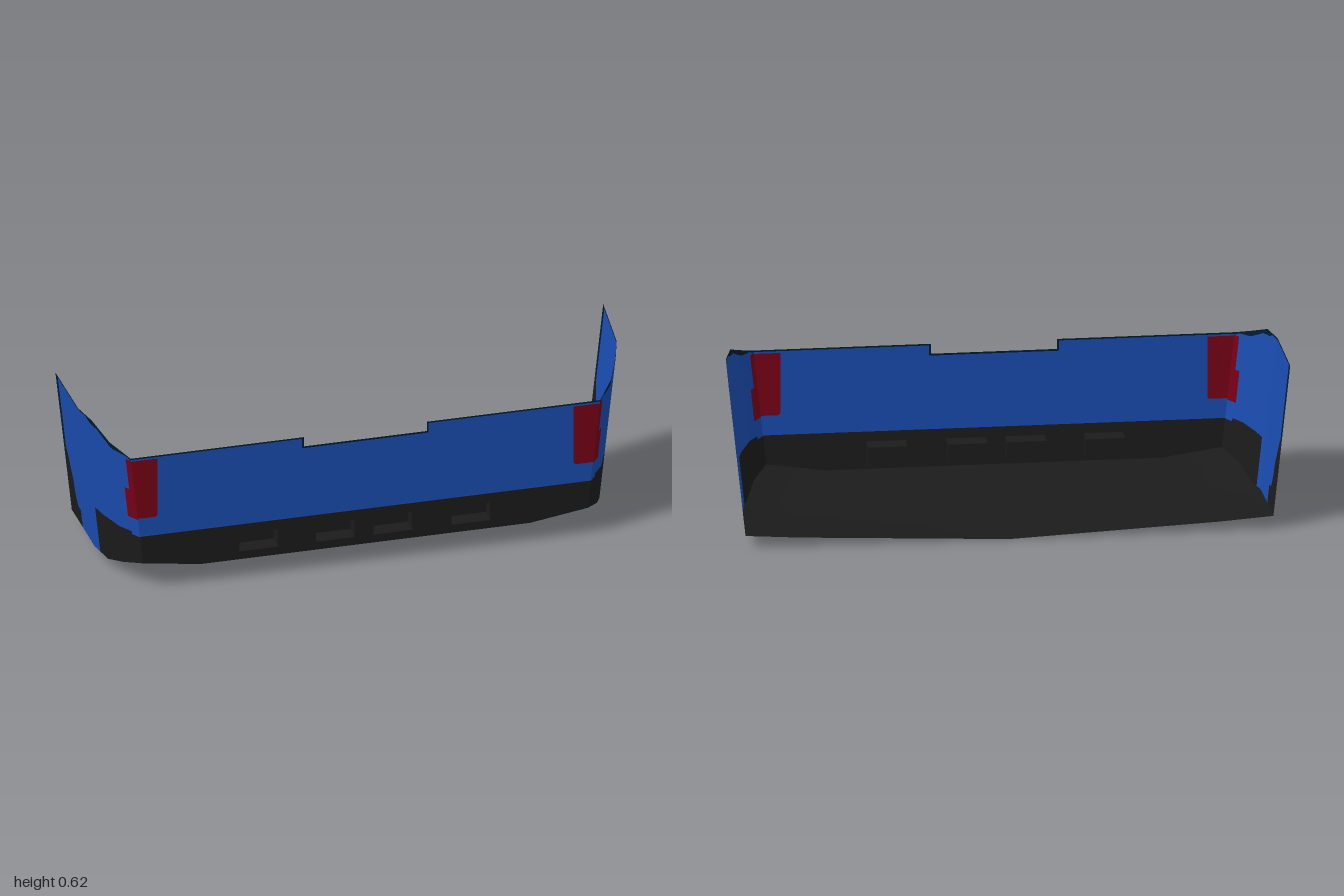
import * as THREE from 'three';

const FRONT = 0.265, REAR = -0.265;

// Piecewise-linear curve through [z, value] points listed from front to rear
function curve(points) {
  return (z) => {
    for (let i = 0; i < points.length - 1; i++) {
      const [z0, v0] = points[i], [z1, v1] = points[i + 1];
      if (z >= z1 - 1e-6) return v0 + (v1 - v0) * (z - z0) / (z1 - z0);
    }
    return points[points.length - 1][1];
  };
}

const planPoints = [[FRONT, 0.865], [0.19, 0.92], [0.095, 0.957], [0, 0.983], [REAR, 1]];
const bottomPoints = [[FRONT, 0.11], [0.095, 0.045], [-0.13, 0.05], [REAR, 0.05]];
const topPoints = [[FRONT, 0.545], [0.095, 0.62], [REAR, 0.62]];
const rimPoints = [[FRONT, 0.535], [0.245, 0.548], [0.2, 0.553], [0.12, 0.595], [0.07, 0.602], [0.05, 0.614], [REAR, 0.614]];
const stainPoints = [[-0.135, 0.12], [-0.168, 0.122], [-0.187, 0.175], [-0.19, 0.215], [-0.21, 0.265], [-0.23, 0.315], [-0.24, 0.325]];
const plan = curve(planPoints), bottom = curve(bottomPoints), top = curve(topPoints);
const rim = curve(rimPoints), stain = curve(stainPoints);
const breaks = [planPoints, bottomPoints, topPoints, rimPoints, stainPoints].flat().map((p) => p[0]);

// The side walls lean outwards towards the top
const wallX = (z, y) => plan(z) - 0.105 * (0.62 - y);

// Surface through equally long rows of points
function grid(rows, flip = false) {
  const n = rows[0].length, index = [];
  for (let i = 0; i < rows.length - 1; i++) {
    for (let j = 0; j < n - 1; j++) {
      const a = i * n + j, b = a + 1, c = a + n, d = c + 1;
      index.push(...(flip ? [a, b, c, b, d, c] : [a, c, b, b, c, d]));
    }
  }
  const g = new THREE.BufferGeometry();
  g.setAttribute('position', new THREE.Float32BufferAttribute(rows.flat(2), 3));
  g.setIndex(index);
  g.computeVertexNormals();
  return g;
}

// Piece of side wall between two heights, from z0 back to z1
function wallPatch(side, z0, z1, low, high) {
  const at = (f, z) => (typeof f === 'function' ? f(z) : f);
  const inner = breaks.filter((z) => z < z0 - 1e-4 && z > z1 + 1e-4);
  const zs = [...new Set([z0, ...inner, z1])].sort((a, b) => b - a);
  const rows = zs.map((z) => {
    const lo = at(low, z), hi = at(high, z);
    return [0, 0.5, 1].map((t) => {
      const y = lo + (hi - lo) * t;
      return [side * wallX(z, y), y, z];
    });
  });
  return grid(rows, side < 0);
}

// Flat shape on the front plane, optionally with holes
function flat(points, holes = []) {
  const toPath = (p) => p.map(([x, y]) => new THREE.Vector2(x, y));
  const shape = new THREE.Shape(toPath(points));
  holes.forEach((h) => shape.holes.push(new THREE.Path(toPath(h))));
  return new THREE.ShapeGeometry(shape).translate(0, 0, FRONT);
}

// Full outline from its right half, listed from bottom to top
const mirrored = (half) => [...half, ...half.slice().reverse().map(([x, y]) => [-x, y])];

export function createModel() {
  const model = new THREE.Group();
  const material = (name, color) => {
    const m = new THREE.MeshStandardMaterial({ color, side: THREE.DoubleSide });
    m.name = name;
    return m;
  };
  const blue = material('bodyBlue', 0x1a4cb0);
  const black = material('plasticBlack', 0x1b1b1b);
  const red = material('lampRed', 0x780016);
  const navy = material('edgeNavy', 0x021b2d);
  const add = (name, geometry, mat, parent = model) => {
    const mesh = new THREE.Mesh(geometry, mat);
    mesh.name = name;
    parent.add(mesh);
  };
  const edge = (y) => [wallX(FRONT, y), y];

  // Side walls, each divided into its coloured areas
  for (const side of [1, -1]) {
    const wall = new THREE.Group();
    wall.name = side > 0 ? 'leftWall' : 'rightWall';
    model.add(wall);
    const areas = [
      ['lowerCorner', black, FRONT, 0.235, bottom, 0.218],
      ['lowerCorner', black, 0.235, 0.04, bottom, 0.23],
      ['lamp', red, FRONT, 0.245, 0.29, 0.535],
      ['lamp', red, 0.245, 0.228, 0.29, 0.41],
      ['paintBelowLamp', blue, FRONT, 0.235, 0.218, 0.29],
      ['paintBelowLamp', blue, 0.235, 0.228, 0.23, 0.29],
      ['paintAboveLamp', blue, FRONT, 0.245, 0.535, rim],
      ['paintBesideLamp', blue, 0.245, 0.228, 0.41, rim],
      ['paint', blue, 0.228, 0.04, 0.23, rim],
      ['paint', blue, 0.04, -0.135, bottom, rim],
      ['paint', blue, -0.135, -0.24, stain, rim],
      ['rearCorner', black, -0.135, -0.24, bottom, stain],
      ['rearCorner', black, -0.24, REAR, bottom, 0.348],
      ['rearEdge', navy, -0.24, REAR, 0.348, rim],
      ['topEdge', navy, FRONT, REAR, rim, top],
    ];
    for (const [name, mat, z0, z1, low, high] of areas) {
      add(name, wallPatch(side, z0, z1, low, high), mat, wall);
    }
    // Lamp face on the front panel
    add('frontLamp', flat([[side * 0.767, 0.295], [side * edge(0.295)[0], 0.295],
      [side * edge(0.532)[0], 0.532], [side * 0.76, 0.532], [side * 0.76, 0.302]]), red);
  }

  // Painted front panel with a notch in the top
  add('frontPanel', flat(mirrored([edge(0.22), edge(0.295), [0.767, 0.295], [0.76, 0.302],
    [0.76, 0.532], edge(0.532), edge(0.539), [0.231, 0.539], [0.231, 0.5]])), blue);
  add('frontTopEdge', flat([...mirrored([edge(0.545), [0.225, 0.545], [0.225, 0.507]]),
    ...mirrored([edge(0.539), [0.231, 0.539], [0.231, 0.5]]).reverse()]), navy);

  // Lower front band with four recessed pockets
  const pockets = [-0.39, -0.11, 0.1, 0.385];
  const w = 0.07, y0 = 0.11, y1 = 0.182, depth = 0.06;
  const holes = pockets.map((x) => [[x - w, y0], [x - w, y1], [x + w, y1], [x + w, y0]]);
  add('lowerBand', flat(mirrored([[0.6, 0.078], edge(0.11), edge(0.22)]), holes), black);
  for (const x of pockets) {
    const box = new THREE.BoxGeometry(2 * w, y1 - y0, depth);
    const index = Array.from(box.index.array);
    index.splice(24, 6); // leave the front open
    box.setIndex(index);
    box.clearGroups();
    box.translate(x, (y0 + y1) / 2, FRONT - depth / 2);
    add('pocket', box, black);
  }

  // Underside, rising towards the front and at both sides, a shallow V at the rear
  const sections = [[FRONT, 0.078, 0.078, 0.6], [0.19, 0.046, 0.046, 0.66], [0.095, 0.01, 0.01, 0.72],
    [0, 0.009, 0.009, 0.74], [-0.13, 0.006, 0.014, 0.745], [REAR, 0, 0.036, 0.745]];
  add('underside', grid(sections.map(([z, middle, fold, foldX]) => {
    const y = bottom(z), x = wallX(z, y);
    return [[-x, y, z], [-foldX, fold, z], [0, middle, z], [foldX, fold, z], [x, y, z]];
  })), black);

  return model;
}
